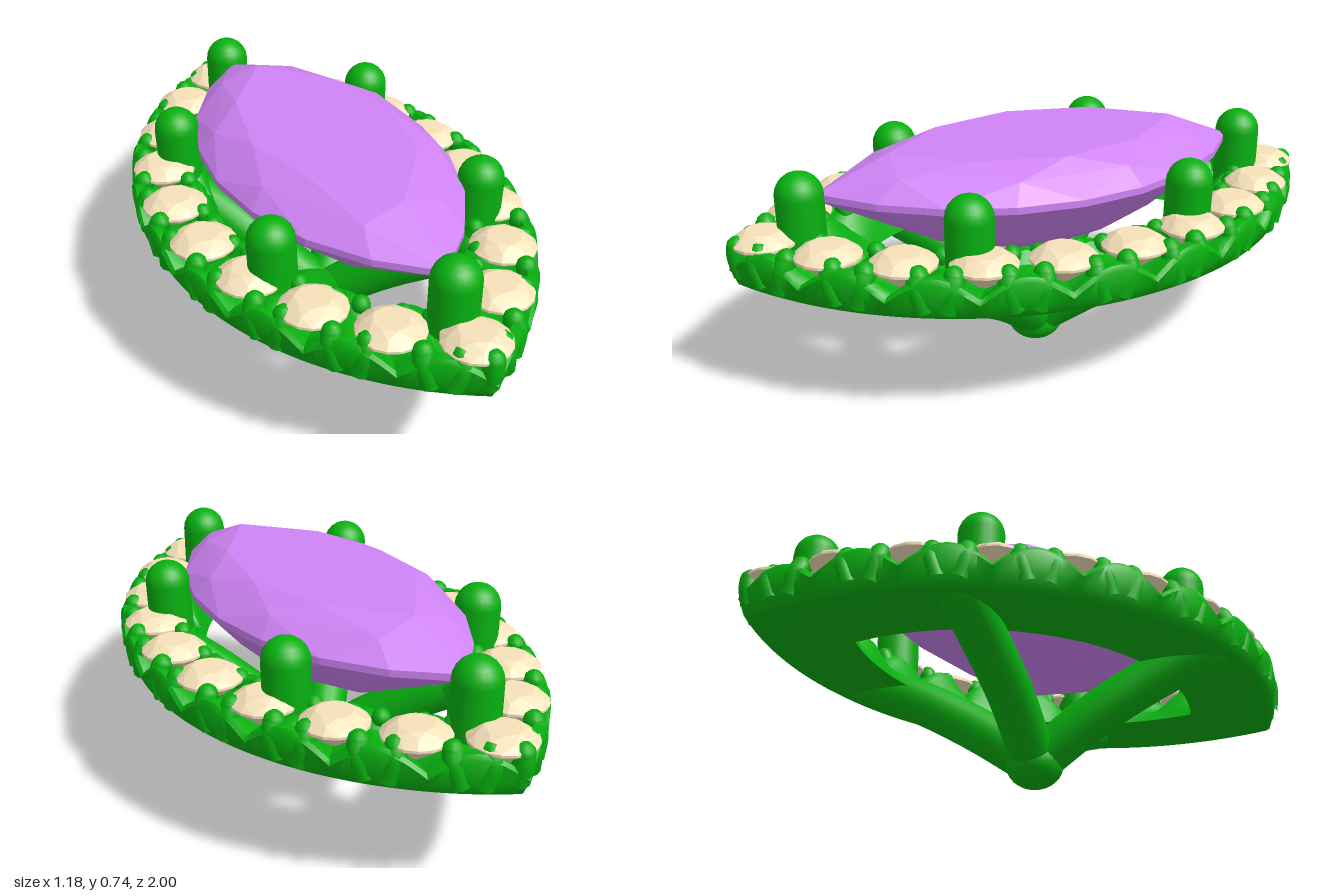
import * as THREE from 'three';
import { toCreasedNormals } from 'three/addons/utils/BufferGeometryUtils.js';
import { ConvexGeometry } from 'three/addons/geometries/ConvexGeometry.js';

const V = (x, y, z) => new THREE.Vector3(x, y, z);
const STONES = 9; // stone spacings along each side of the halo

// Point on a pointed oval made of two arcs: half width a, half length b, t in 0..2 once around
function marquise(a, b, t, y) {
  t = ((t % 2) + 2) % 2;
  const side = t < 1 ? 1 : -1, u = t % 1;
  const R = (a * a + b * b) / (2 * a);
  const p = Math.asin(b / R) * (1 - 2 * u);
  return V(side * (R * Math.cos(p) - (R - a)), y, side * R * Math.sin(p));
}

function ovalRing(a, b, y, n, shift = 0) {
  return Array.from({ length: n }, (_, i) => marquise(a, b, (2 * (i + shift)) / n, y));
}

function circleRing(r, y, n, shift = 0) {
  return Array.from({ length: n }, (_, i) => {
    const q = ((i + shift) / n) * Math.PI * 2;
    return V(r * Math.cos(q), y, r * Math.sin(q));
  });
}

// Channel with a wide flat underside and a scalloped rim, low beside each stone
function haloGeometry() {
  const steps = 2 * STONES * 12;
  const pos = [], index = [];
  const section = (t) => {
    const lift = Math.abs(Math.sin(t * STONES * Math.PI));
    const h = 0.455 + 0.065 * lift, floor = 0.45 + 0.035 * lift;
    return [
      [0.32, 0.625, 0.38], [0.545, 0.955, 0.378], [0.565, 0.975, 0.39], [0.584, 0.99, 0.43],
      [0.592, 0.997, h - 0.015], [0.582, 0.985, h], [0.555, 0.955, h], [0.53, 0.93, floor],
      [0.43, 0.82, floor], [0.405, 0.78, h], [0.375, 0.735, h], [0.36, 0.705, h - 0.02],
      [0.335, 0.655, 0.42],
    ];
  };
  const m = section(0).length;
  for (let i = 0; i < steps; i++) {
    const t = (2 * i) / steps;
    for (const [a, b, y] of section(t)) pos.push(...marquise(a, b, t, y).toArray());
    for (let j = 0; j < m; j++) {
      const n = (i + 1) % steps, k = (j + 1) % m;
      const A = i * m + j, B = n * m + j, C = n * m + k, D = i * m + k;
      index.push(A, B, C, A, C, D);
    }
  }
  const g = new THREE.BufferGeometry();
  g.setAttribute('position', new THREE.Float32BufferAttribute(pos, 3));
  g.setIndex(index);
  return toCreasedNormals(g, 0.8);
}

export function createModel() {
  const model = new THREE.Group();
  const metal = new THREE.MeshStandardMaterial({ color: 0x08b010 });
  const purple = new THREE.MeshStandardMaterial({ color: 0xd084f6, flatShading: true });
  const cream = new THREE.MeshStandardMaterial({ color: 0xf6e2ba, flatShading: true });

  const add = (name, geo, mat, parent = model) => {
    const mesh = new THREE.Mesh(geo, mat);
    mesh.name = name;
    parent.add(mesh);
    return mesh;
  };
  const group = (name) => {
    const g = new THREE.Group();
    g.name = name;
    model.add(g);
    return g;
  };
  // Round bar along a path, ending in a dome
  const rod = (name, points, r, sides, parent) => {
    const curve = new THREE.CatmullRomCurve3(points);
    add(name, new THREE.TubeGeometry(curve, 10, r, sides), metal, parent);
    add(name + 'Tip', new THREE.SphereGeometry(r, sides, Math.ceil(sides / 2)), metal, parent)
      .position.copy(points[points.length - 1]);
  };

  add('haloFrame', haloGeometry(), metal);

  // Large faceted centre stone
  add('centreStone', new ConvexGeometry([
    ...ovalRing(0.245, 0.49, 0.737, 8),
    ...ovalRing(0.32, 0.62, 0.698, 8, 0.5),
    ...ovalRing(0.37, 0.72, 0.64, 16),
    ...ovalRing(0.37, 0.72, 0.618, 16),
    ...ovalRing(0.235, 0.46, 0.463, 8, 0.5),
    V(0, 0.325, 0),
  ]), purple);

  // Small round stones around the halo
  const stones = group('haloStones');
  const gem = new ConvexGeometry([
    ...circleRing(0.055, 0.035, 8),
    ...circleRing(0.08, 0.022, 8, 0.5),
    ...circleRing(0.102, 0.003, 16),
    ...circleRing(0.102, -0.005, 16),
    V(0, -0.085, 0),
  ]);
  for (let i = 0; i < 2 * STONES; i++) {
    const stone = add('haloStone', gem, cream, stones);
    stone.position.copy(marquise(0.477, 0.885, i / STONES, 0.519));
    stone.rotation.y = Math.atan2(stone.position.x, stone.position.z);
  }

  // Pairs of little claws in each gap, on the outer and inner rims
  const claws = group('claws');
  for (let i = 0; i < 2 * STONES; i++) {
    for (const d of [-0.2, 0.2]) {
      const root = (i + 0.5 + d * 0.6) / STONES, t = (i + 0.5 + d) / STONES;
      rod('outerClaw', [marquise(0.555, 0.963, root, 0.41), marquise(0.56, 0.967, t, 0.48),
        marquise(0.547, 0.953, t, 0.512)], 0.032, 12, claws);
      rod('innerClaw', [marquise(0.4, 0.76, root, 0.42), marquise(0.398, 0.757, t, 0.48),
        marquise(0.408, 0.772, t, 0.512)], 0.028, 12, claws);
    }
  }
  for (const s of [-1, 1]) {
    rod('endClaw', [V(0, 0.42, s * 0.955), V(0, 0.48, s * 0.968), V(0, 0.513, s * 0.967)], 0.032, 12, claws);
  }

  // Six tall prongs holding the centre stone
  const prongs = group('prongs');
  for (const s of [-1, 1]) {
    rod('endProng', [V(0, 0.42, s * 0.77), V(0, 0.645, s * 0.77)], 0.074, 24, prongs);
    for (const k of [-1, 1]) {
      rod('sideProng', [V(s * 0.352, 0.42, k * 0.362), V(s * 0.359, 0.64, k * 0.363)], 0.073, 24, prongs);
    }
  }

  // Four arms meeting at a rounded foot
  const base = group('base');
  for (const sx of [-1, 1]) {
    for (const sz of [-1, 1]) {
      rod('arm', [V(0, 0.085, 0), V(sx * 0.145, 0.235, sz * 0.155), V(sx * 0.27, 0.35, sz * 0.31),
        V(sx * 0.38, 0.425, sz * 0.44)], 0.074, 20, base);
    }
  }
  const foot = add('foot', new THREE.SphereGeometry(0.094, 28, 18), metal, base);
  foot.position.y = 0.08;
  foot.scale.y = 0.85;

  return model;
}
